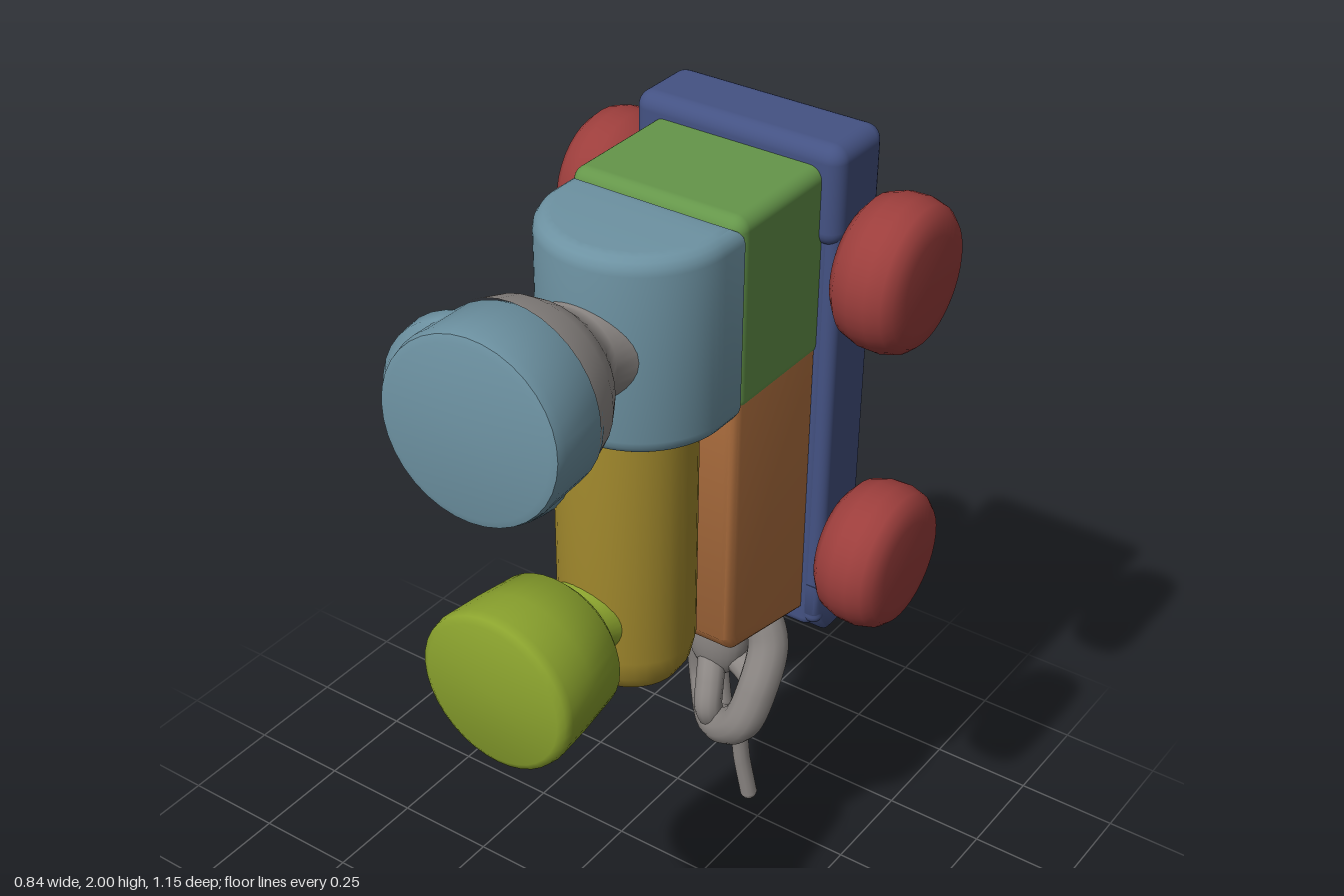
import * as THREE from 'three';
import { toCreasedNormals } from 'three/addons/utils/BufferGeometryUtils.js';
import { RoundedBoxGeometry } from 'three/addons/geometries/RoundedBoxGeometry.js';

const mat = (color) => new THREE.MeshStandardMaterial({ color });
const blue = mat(0x445283), red = mat(0x9c3e3c), green = mat(0x65964a), sky = mat(0x6d92a2);
const orange = mat(0xb0703f), yellow = mat(0xa58c2e), lime = mat(0x8ba32e), grey = mat(0x8d8885);

export function createModel() {
  const model = new THREE.Group();

  const add = (name, geometry, material, x = 0, y = 0, z = 0) => {
    const mesh = new THREE.Mesh(geometry, material);
    mesh.name = name;
    mesh.position.set(x, y, z);
    model.add(mesh);
    return mesh;
  };
  const block = (name, material, w, h, d, x, y, z, r = 0.025) =>
    add(name, new RoundedBoxGeometry(w, h, d, 4, r), material, x, y, z);
  // Turned part: pairs of [radius, height]
  const turned = (profile) => toCreasedNormals(
    new THREE.LatheGeometry(profile.map(([r, h]) => new THREE.Vector2(r, h)), 36).toNonIndexed(), 0.9);
  // Bevelled extrusion centred on its depth
  const extruded = (shape, depth, bevel) => {
    const g = new THREE.ExtrudeGeometry(shape, {
      depth: depth - 2 * bevel, curveSegments: 20, bevelEnabled: true,
      bevelSize: bevel, bevelOffset: -bevel, bevelThickness: bevel, bevelSegments: 4,
    });
    g.translate(0, 0, bevel - depth / 2);
    return toCreasedNormals(g, 0.7);
  };
  // Side profile in (-z, y) extruded across x
  const sideProfile = (points, width, bevel) => extruded(
    new THREE.Shape(points.map(([u, y]) => new THREE.Vector2(u, y))), width, bevel).rotateY(Math.PI / 2);
  const tube = (name, points, radius, closed = false) => add(name, new THREE.TubeGeometry(
    new THREE.CatmullRomCurve3(points.map((p) => new THREE.Vector3(...p)), closed), 64, radius, 12, closed), grey);

  // Chassis: plate, end bars (the lower one chamfered) and side rails around a recess at the back
  block('chassisPlate', blue, 0.46, 1.16, 0.09, -0.008, 1.39, -0.373);
  block('chassisTopBar', blue, 0.5, 0.22, 0.178, -0.008, 1.885, -0.405, 0.035);
  add('chassisBottomBar', sideProfile([[0.33, 0.93], [0.33, 0.85], [0.385, 0.78], [0.485, 0.78], [0.485, 0.93]],
    0.495, 0.02), blue, -0.008);
  for (const side of [-1, 1])
    block('chassisRail', blue, 0.05, 1.14, 0.154, side * 0.222 - 0.008, 1.39, -0.408, 0.022);

  // Wheels with stub axles
  const wheelGeometry = turned([[0, -0.088], [0.08, -0.086], [0.125, -0.078], [0.152, -0.055],
    [0.165, -0.015], [0.166, 0.025], [0.157, 0.058], [0.14, 0.077], [0.1, 0.085], [0, 0.082]]);
  const stubGeometry = new THREE.CylinderGeometry(0.065, 0.065, 0.1, 20).rotateZ(Math.PI / 2);
  for (const y of [1.725, 1.03]) {
    for (const side of [-1, 1]) {
      add('stubAxle', stubGeometry, blue, side * 0.248, y, -0.4);
      const wheel = add('wheel', wheelGeometry, red, side * 0.337 - 0.005, y, -0.403);
      wheel.rotation.z = -side * Math.PI / 2;
    }
  }

  // Cabin: square rear half and rounded front half
  block('cabinRear', green, 0.41, 0.435, 0.32, -0.003, 1.735, -0.19, 0.03);
  const cabin = new THREE.Shape();
  cabin.moveTo(-0.205, 0.045);
  cabin.lineTo(-0.205, -0.02);
  cabin.absellipse(0, -0.02, 0.205, 0.2, Math.PI, Math.PI * 2, false);
  cabin.lineTo(0.205, 0.045);
  cabin.closePath();
  add('cabinFront', extruded(cabin, 0.435, 0.035).rotateX(-Math.PI / 2), sky, -0.003, 1.722, 0);

  // Boiler base with slanted lower end
  add('boilerBase', sideProfile([[0.03, 0.95], [0.06, 0.91], [0.34, 0.853], [0.34, 1.56], [0.03, 1.56]],
    0.4, 0.025), orange);

  // Rounded boiler, creased against its base
  const boiler = add('boiler', turned([[0, 0], [0.04, 0.004], [0.08, 0.02], [0.11, 0.045],
    [0.13, 0.08], [0.14, 0.13], [0.14, 0.7]]), yellow, -0.003, 0.842, 0.062);
  boiler.scale.x = 1.1;

  // Large funnel with neck, drum and an off-centre brim
  const funnelNeck = turned([[0.125, 0.17], [0.1, 0.225], [0.11, 0.255], [0.15, 0.3],
    [0.178, 0.345], [0.197, 0.41]]).rotateX(Math.PI / 2);
  add('funnelNeck', funnelNeck, grey, -0.003, 1.722, 0);
  const drum = add('funnelDrum', turned([[0, -0.085], [0.19, -0.085], [0.197, -0.07], [0.2, 0.06],
    [0.195, 0.08], [0.18, 0.085], [0, 0.082]]).rotateX(Math.PI / 2), sky, -0.001, 1.718, 0.48);
  drum.rotation.set(-0.04, 0.07, 0);
  add('funnelBrim', turned([[0, -0.09], [0.15, -0.08], [0.205, -0.042], [0.218, -0.01],
    [0.213, 0.025], [0.195, 0.045], [0, 0.055]]).rotateX(Math.PI / 2), sky, -0.055, 1.675, 0.458);

  // Small funnel
  add('smallFunnel', turned([[0.1, 0.16], [0.075, 0.21], [0.073, 0.24], [0.095, 0.262], [0.14, 0.272],
    [0.164, 0.295], [0.177, 0.4], [0.184, 0.48], [0.18, 0.5], [0.165, 0.508], [0, 0.506]])
    .rotateX(Math.PI / 2), lime, -0.015, 1.062, 0);

  // Pull cord: lead, fat knotted loop with crossing strands, and hanging tail
  tube('cordLead', [[-0.01, 0.86, -0.35], [-0.01, 0.79, -0.39], [-0.012, 0.74, -0.43], [-0.02, 0.67, -0.475]], 0.025);
  tube('cordLoop', [[-0.02, 0.675, -0.485], [0.025, 0.6, -0.475], [0.027, 0.48, -0.43], [-0.005, 0.375, -0.41],
    [-0.1, 0.312, -0.45], [-0.172, 0.38, -0.52], [-0.174, 0.5, -0.51], [-0.172, 0.61, -0.485],
    [-0.1, 0.68, -0.495]], 0.05, true);
  tube('cordBridge', [[0.025, 0.48, -0.44], [-0.04, 0.485, -0.48], [-0.11, 0.5, -0.5]], 0.035);
  tube('cordStrand', [[-0.13, 0.5, -0.47], [-0.11, 0.44, -0.43], [-0.1, 0.38, -0.41], [-0.1, 0.32, -0.44]], 0.035);
  const knot = add('cordKnot', new THREE.SphereGeometry(1, 24, 16), grey, -0.125, 0.57, -0.485);
  knot.scale.set(0.085, 0.14, 0.062);
  tube('cordTail', [[-0.11, 0.31, -0.48], [-0.085, 0.24, -0.52], [-0.075, 0.13, -0.535], [-0.06, 0.02, -0.548]], 0.022);
  add('cordEnd', new THREE.SphereGeometry(0.022, 12, 8), grey, -0.06, 0.022, -0.548);

  return model;
}
